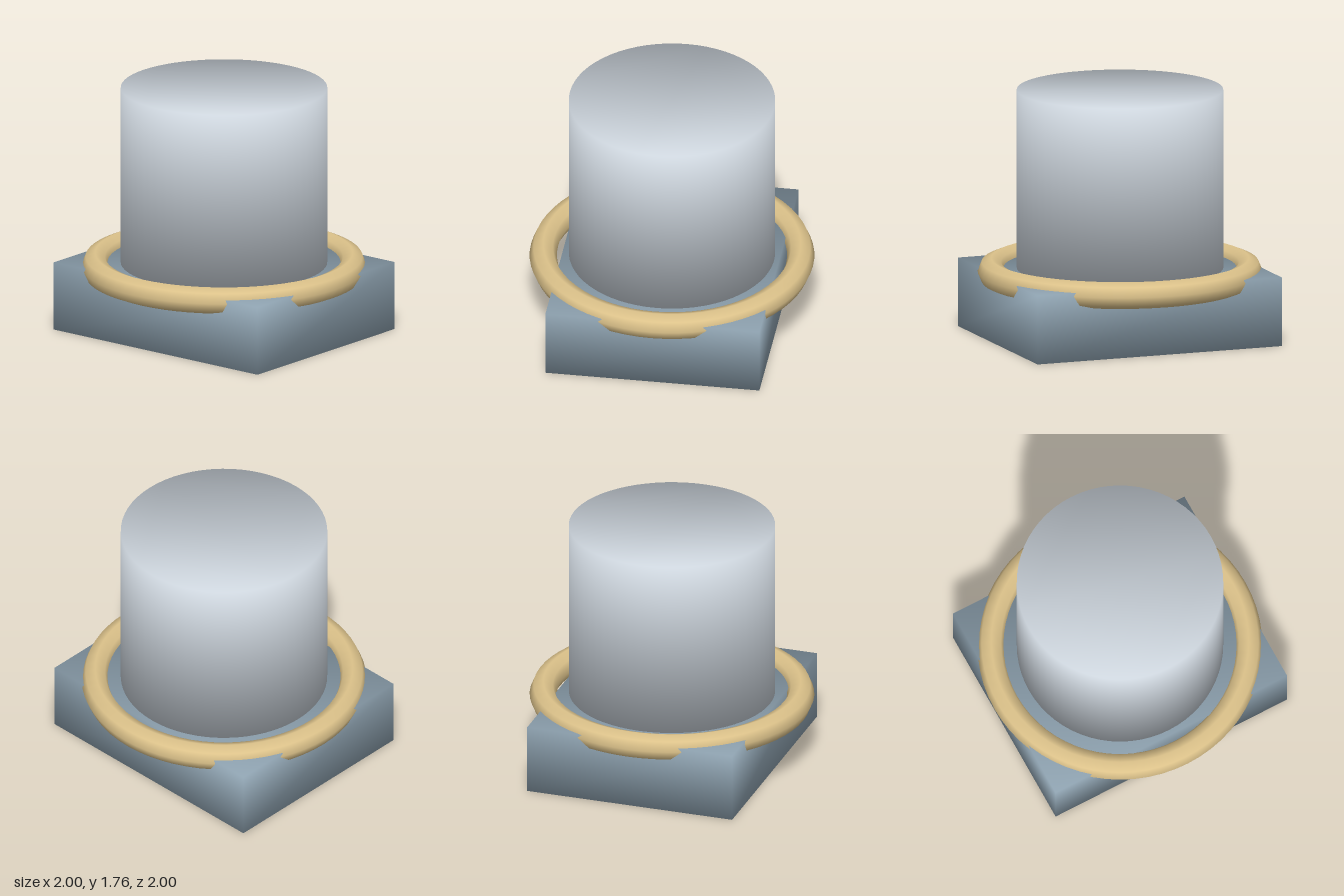
import * as THREE from 'three';
import { mergeVertices } from 'three/addons/utils/BufferGeometryUtils.js';

// Weld a solid standing on y = 0 and let its normals lean 45 degrees over every rim,
// so that the shading runs softly across caps and corners.
function softened(geometry, height, normalAt) {
  geometry.deleteAttribute('uv');
  geometry.deleteAttribute('normal');
  const welded = mergeVertices(geometry, 1e-4);
  welded.clearGroups();
  const p = welded.attributes.position;
  const normals = new Float32Array(p.count * 3);
  for (let i = 0; i < p.count; i++) {
    const up = p.getY(i) > height / 2 ? 1 : -1;
    normalAt(p.getX(i), up, p.getZ(i)).normalize().toArray(normals, i * 3);
  }
  welded.setAttribute('normal', new THREE.BufferAttribute(normals, 3));
  return welded;
}

export function createModel() {
  const model = new THREE.Group();
  model.name = 'drumOnBase';

  const slate = new THREE.MeshStandardMaterial({ color: 0x8fa3b1 });
  const silver = new THREE.MeshStandardMaterial({ color: 0xcdd5dd });
  const brass = new THREE.MeshStandardMaterial({ color: 0xdcc28a });
  slate.name = 'slate';
  silver.name = 'silver';
  brass.name = 'brass';

  const add = (name, geometry, material, y) => {
    const mesh = new THREE.Mesh(geometry, material);
    mesh.name = name;
    mesh.position.y = y;
    model.add(mesh);
  };

  // Rectangular base block
  const baseHeight = 0.49;
  const block = new THREE.BoxGeometry(1.845, baseHeight, 1.52).translate(0, baseHeight / 2, 0);
  add('base', softened(block, baseHeight,
    (x, up, z) => new THREE.Vector3(Math.sign(x), up, Math.sign(z))), slate, 0);

  // Upright drum
  const radius = 0.725, drumHeight = 1.275;
  const circle = new THREE.Shape().absarc(0, 0, radius, 0, Math.PI * 2);
  const drum = new THREE.ExtrudeGeometry(circle, {
    depth: drumHeight, bevelEnabled: false, curveSegments: 32,
  }).rotateX(-Math.PI / 2);
  add('drum', softened(drum, drumHeight,
    (x, up, z) => new THREE.Vector3(x / radius, up, z / radius)), silver, baseHeight);

  // Ring around the foot of the drum, with an eight-sided section
  const ring = new THREE.TorusGeometry(0.904, 0.096, 8, 64).rotateX(-Math.PI / 2);
  add('ring', ring, brass, 0.465);

  return model;
}
